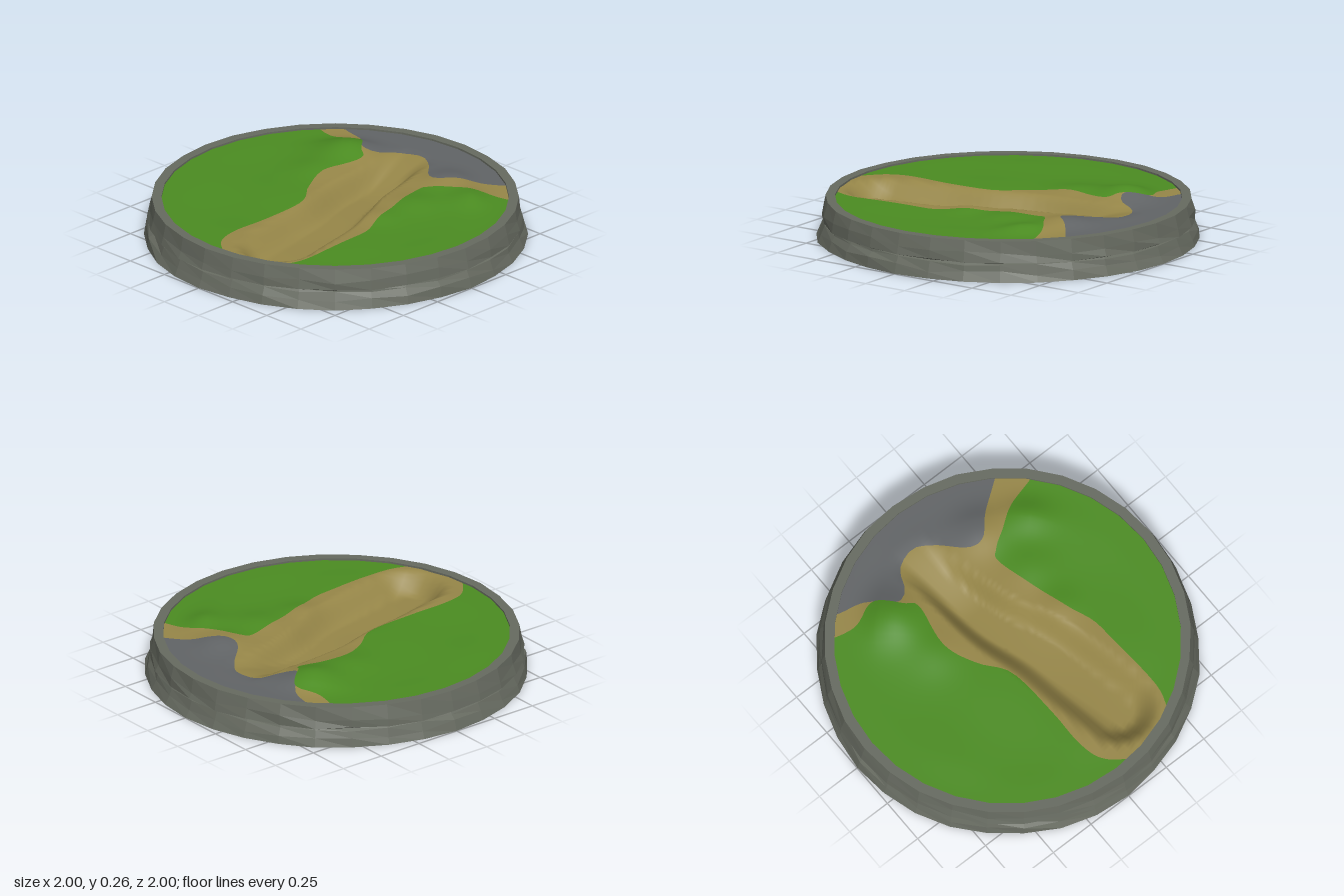
import * as THREE from 'three';

const mat = (name, color) => {
  const m = new THREE.MeshStandardMaterial({ color });
  m.name = name;
  return m;
};
const V = (a) => a.map(([x, z]) => new THREE.Vector2(x, z));

// Ground borders as smooth curves (x, z), closed outside the disc
const region = (border, outside) => [...new THREE.SplineCurve(V(border)).getPoints(60), ...V(outside)];
const northGrass = region([[-0.95, 0.18], [-0.89, 0.07], [-0.8, -0.03], [-0.66, -0.065], [-0.45, -0.065],
  [-0.155, -0.09], [0.005, -0.2], [0.19, -0.275], [0.43, -0.24], [0.49, -0.3], [0.59, -0.39], [0.6, -0.45],
  [0.555, -0.56], [0.58, -0.7], [0.64, -0.85]], [[0.6, -1.3], [-1.3, -1.3], [-1.3, 0.18]]);
const southGrass = region([[-0.95, 0.36], [-0.8, 0.415], [-0.66, 0.45], [-0.315, 0.43], [-0.18, 0.415],
  [-0.02, 0.35], [0.35, 0.24], [0.43, 0.27], [0.49, 0.36], [0.57, 0.48], [0.62, 0.645], [0.66, 0.8]],
[[0.6, 1.3], [-1.3, 1.3], [-1.3, 0.36]]);
const rockGround = region([[0.75, -0.75], [0.67, -0.6], [0.63, -0.45], [0.515, -0.32], [0.55, -0.24],
  [0.66, -0.185], [0.705, -0.065], [0.645, 0.04], [0.525, 0.16], [0.515, 0.25], [0.62, 0.35], [0.74, 0.51],
  [0.85, 0.65]], [[1.3, 0.7], [1.3, -0.75]]);

// Distance from a point to a segment
function segmentDistance(x, z, a, b) {
  const dx = b.x - a.x, dz = b.y - a.y;
  const t = THREE.MathUtils.clamp(((x - a.x) * dx + (z - a.y) * dz) / (dx * dx + dz * dz || 1), 0, 1);
  return Math.hypot(x - a.x - t * dx, z - a.y - t * dz);
}

// Signed distance to a closed outline, negative inside
function outlineDistance(poly, x, z) {
  let d = Infinity, inside = false;
  poly.forEach((a, i) => {
    const b = poly[(i + 1) % poly.length];
    d = Math.min(d, segmentDistance(x, z, a, b));
    if ((a.y > z) !== (b.y > z) && x < a.x + ((z - a.y) * (b.x - a.x)) / (b.y - a.y)) inside = !inside;
  });
  return inside ? -d : d;
}

// Ground height: a trench along a bent line, low hills and a flat edge
const trenchLine = new THREE.SplineCurve(V([[-0.64, 0.22], [-0.4, 0.17], [-0.12, 0.11], [0.15, 0.01],
  [0.4, -0.04], [0.68, -0.09]])).getPoints(24);
const hills = [[0.47, -0.38, 0.055, 0.15], [0.56, 0.27, 0.04, 0.14], [0.48, 0.52, 0.036, 0.13],
  [-0.02, 0.33, 0.016, 0.1], [0.2, -0.33, 0.022, 0.14], [0.25, 0.35, 0.02, 0.13]];
function height(x, z) {
  const step = THREE.MathUtils.smoothstep;
  let d = Infinity;
  for (let i = 0; i < trenchLine.length - 1; i++) {
    d = Math.min(d, segmentDistance(x, z, trenchLine[i], trenchLine[i + 1]));
  }
  const width = 0.2 - 0.07 * step(x, -0.4, 0.6);
  const depth = 0.105 * (1 - step(x, 0.25, 0.78));
  let h = 0.004 * Math.sin(7 * x + 3 * z) * Math.sin(8 * z - 2 * x);
  for (const [hx, hz, amp, r] of hills) h += amp * Math.exp(-((x - hx) ** 2 + (z - hz) ** 2) / (r * r));
  h *= 1 - step(Math.hypot(x, z), 0.68, 0.88);
  return 0.2 + h - depth * (1 - step(d, width * 0.4, width * 1.1));
}

// Cut triangles along an outline into those inside and those outside
function cut(triangles, poly) {
  const parts = [[], []];
  for (const tri of triangles) {
    const f = tri.map(([x, z]) => outlineDistance(poly, x, z));
    [1, -1].forEach((sign, side) => {
      const out = [];
      tri.forEach((p, i) => {
        const j = (i + 1) % 3, q = tri[j];
        if (f[i] * sign <= 0) out.push(p);
        if (f[i] * f[j] < 0) {
          const t = f[i] / (f[i] - f[j]);
          out.push([p[0] + t * (q[0] - p[0]), p[1] + t * (q[1] - p[1])]);
        }
      });
      for (let i = 1; i < out.length - 1; i++) parts[side].push([out[0], out[i], out[i + 1]]);
    });
  }
  return parts;
}

// Raise flat triangles to the ground height with smooth normals
function groundMesh(name, triangles, material) {
  const pos = [], nor = [], e = 0.008;
  for (const [x, z] of triangles.flat()) {
    pos.push(x, height(x, z), z);
    const n = new THREE.Vector3(height(x - e, z) - height(x + e, z), 2 * e, height(x, z - e) - height(x, z + e));
    nor.push(...n.normalize().toArray());
  }
  const g = new THREE.BufferGeometry();
  g.setAttribute('position', new THREE.Float32BufferAttribute(pos, 3));
  g.setAttribute('normal', new THREE.Float32BufferAttribute(nor, 3));
  const mesh = new THREE.Mesh(g, material);
  mesh.name = name;
  return mesh;
}

// Rough stone plinth: rings of [radius, y, radius jitter, y jitter]
function plinthGeometry() {
  let seed = 7;
  const rand = () => ((seed = (seed * 16807) % 2147483647) / 2147483647) * 2 - 1;
  const sides = 32;
  const rings = [[0, 0, 0, 0], [0.995, 0, 0.005, 0], [0.978, 0.045, 0.007, 0.014], [0.962, 0.085, 0.006, 0.006],
    [0.95, 0.092, 0.004, 0.002], [0.972, 0.1, 0.006, 0.005], [0.965, 0.145, 0.006, 0.015],
    [0.95, 0.21, 0.003, 0], [0.9, 0.21, 0, 0], [0.9, 0.17, 0, 0]];
  const pts = rings.map(([r, y, jr, jy]) => Array.from({ length: sides }, (_, i) => {
    const a = (i / sides) * Math.PI * 2, rr = r + jr * rand();
    return [rr * Math.cos(a), y + jy * rand(), rr * Math.sin(a)];
  }));
  const pos = [];
  for (let k = 0; k < rings.length - 1; k++) {
    for (let i = 0; i < sides; i++) {
      const j = (i + 1) % sides;
      const [a, b, c, d] = [pts[k][i], pts[k + 1][i], pts[k + 1][j], pts[k][j]];
      pos.push(...a, ...b, ...c);
      if (k > 0) pos.push(...a, ...c, ...d);
    }
  }
  const g = new THREE.BufferGeometry();
  g.setAttribute('position', new THREE.Float32BufferAttribute(pos, 3));
  g.computeVertexNormals();
  return g;
}

export function createModel() {
  const group = new THREE.Group();
  group.name = 'terrainBase';

  const plinth = new THREE.Mesh(plinthGeometry(), mat('plinthStone', 0x666a60));
  plinth.name = 'plinth';
  group.add(plinth);

  // Flat disc of triangles, split into the ground types
  const rows = 40, sides = 96, disc = [];
  const at = (k, i) => {
    const a = (i / sides) * Math.PI * 2, r = (0.902 * k) / rows;
    return [r * Math.cos(a), r * Math.sin(a)];
  };
  for (let k = 0; k < rows; k++) {
    for (let i = 0; i < sides; i++) {
      disc.push([at(k, i), at(k + 1, i + 1), at(k + 1, i)]);
      if (k > 0) disc.push([at(k, i), at(k, i + 1), at(k + 1, i + 1)]);
    }
  }
  const [north, rest1] = cut(disc, northGrass);
  const [south, rest2] = cut(rest1, southGrass);
  const [rock, dirt] = cut(rest2, rockGround);
  const grass = mat('grassGreen', 0x4b8c21);
  group.add(
    groundMesh('northGrass', north, grass),
    groundMesh('southGrass', south, grass),
    groundMesh('rockGround', rock, mat('rockGrey', 0x616466)),
    groundMesh('dirtTrench', dirt, mat('dirtBrown', 0x968648)),
  );
  return group;
}
